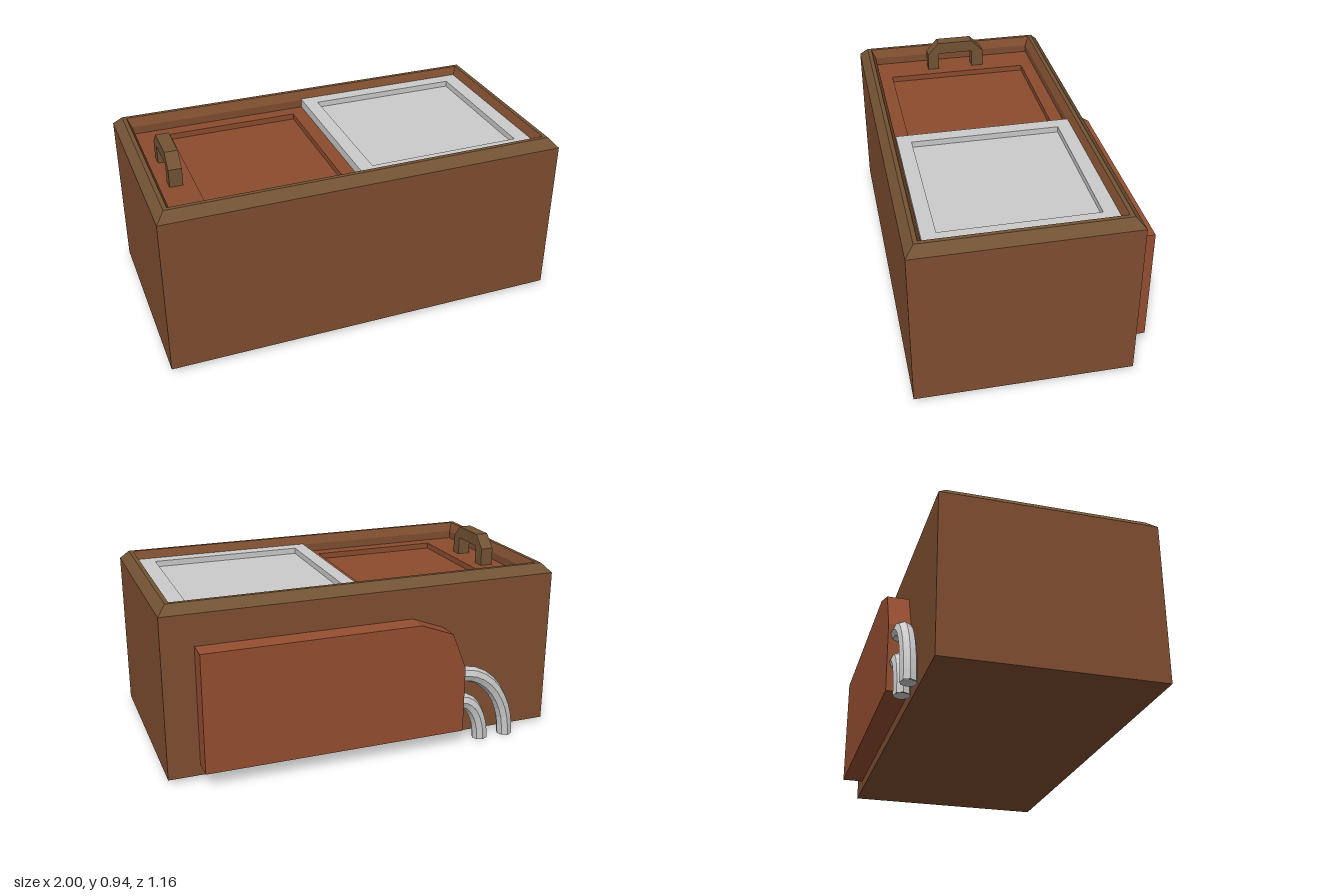
import * as THREE from 'three';

const mat = (color) => new THREE.MeshStandardMaterial({ color, flatShading: true });

// Stack of rectangular rings [x0, x1, z0, z1, y], joined by quads, with optional end caps
function loft(rings, capStart, capEnd) {
  const pos = [];
  const quad = (a, b, c, d) => pos.push(...a, ...b, ...c, ...a, ...c, ...d);
  const loops = rings.map(([x0, x1, z0, z1, y]) => [[x0, y, z1], [x1, y, z1], [x1, y, z0], [x0, y, z0]]);
  for (let r = 0; r + 1 < loops.length; r++) {
    const a = loops[r], b = loops[r + 1];
    for (let i = 0; i < 4; i++) {
      const j = (i + 1) % 4;
      quad(a[i], a[j], b[j], b[i]);
    }
  }
  if (capStart) quad(...[...loops[0]].reverse());
  if (capEnd) quad(...loops[loops.length - 1]);
  const g = new THREE.BufferGeometry();
  g.setAttribute('position', new THREE.Float32BufferAttribute(pos, 3));
  g.computeVertexNormals();
  return g;
}

// Extruded outline, without bevel
function extrude(points, depth) {
  const shape = new THREE.Shape(points.map(([x, y]) => new THREE.Vector2(x, y)));
  return new THREE.ExtrudeGeometry(shape, { depth, bevelEnabled: false });
}

export function createModel() {
  const group = new THREE.Group();
  const wood = mat(0x804e30), trim = mat(0x735334), panel = mat(0x8c4c2e);
  const red = mat(0x954e31), grey = mat(0xcccccc);
  const add = (name, geometry, material) => {
    const mesh = new THREE.Mesh(geometry, material);
    mesh.name = name;
    group.add(mesh);
    return mesh;
  };

  // Footprint of the cabinet shrunk by an inset, at height y
  const ring = (inset, y) => [-1 + inset, 1 - inset, -0.47 + inset, 0.58 - inset, y];

  // Cabinet, chamfered rim and the well that holds the lids
  add('cabinet', loft([ring(0, 0.02), ring(0, 0.82)], true, false), wood);
  add('rim', loft([ring(0, 0.82), ring(0.042, 0.865), ring(0.062, 0.865)]), trim);
  add('innerWall', loft([ring(0.062, 0.865), ring(0.083, 0.82), ring(0.083, 0.72)], false, true), wood);

  // Sliding lids with sunken panels
  const lid = (name, x0, x1, rx0, rx1, bottom, top, material) => add(name, loft([
    [x0, x1, -0.39, 0.495, bottom], [x0, x1, -0.39, 0.495, top],
    [rx0, rx1, -0.32, 0.425, top], [rx0, rx1, -0.32, 0.425, top - 0.03],
  ], true, true), material);
  lid('lowerLid', -0.917, 0.02, -0.74, -0.07, 0.73, 0.78, panel);
  lid('upperLid', 0, 0.917, 0.07, 0.84, 0.78, 0.825, grey);

  // Handle: arch outline in z and y, turned to run along the depth
  const handle = add('handle', extrude([
    [-0.21, 0.775], [-0.15, 0.775], [-0.15, 0.872], [0.04, 0.872], [0.04, 0.775],
    [0.105, 0.775], [0.105, 0.87], [0.04, 0.935], [-0.15, 0.935], [-0.21, 0.87],
  ], 0.065), trim);
  handle.rotation.y = Math.PI / 2;
  handle.position.x = -0.862;

  // Rear housing with a rounded upper corner
  const housing = add('rearHousing', extrude([
    [0.845, 0.075], [0.845, 0.665], [-0.23, 0.665], [-0.40, 0.6], [-0.475, 0.415], [-0.475, 0.075],
  ], 0.107), red);
  housing.position.z = -0.577;

  // Two pipes that bend down from the housing to the ground
  for (const [name, reach, height] of [['outerPipe', 0.27, 0.365], ['innerPipe', 0.125, 0.22]]) {
    const points = [new THREE.Vector3(-0.44, height, -0.526)];
    for (let i = 0; i <= 6; i++) {
      const t = (i / 6) * Math.PI / 2;
      points.push(new THREE.Vector3(-0.475 - reach * Math.sin(t), height * Math.cos(t), -0.526));
    }
    const path = new THREE.CurvePath();
    for (let i = 0; i + 1 < points.length; i++) path.add(new THREE.LineCurve3(points[i], points[i + 1]));
    const tube = new THREE.TubeGeometry(new THREE.CatmullRomCurve3(points), 10, 0.04, 8);
    // Keep the lower end flat on the ground
    const p = tube.attributes.position;
    for (let i = 0; i < p.count; i++) p.setY(i, Math.max(0, p.getY(i)));
    add(name, tube, grey);
    const end = add(name + 'End', new THREE.CircleGeometry(0.04, 8), grey);
    end.rotation.x = Math.PI / 2;
    end.position.set(-0.475 - reach, 0.001, -0.526);
  }
  return group;
}
